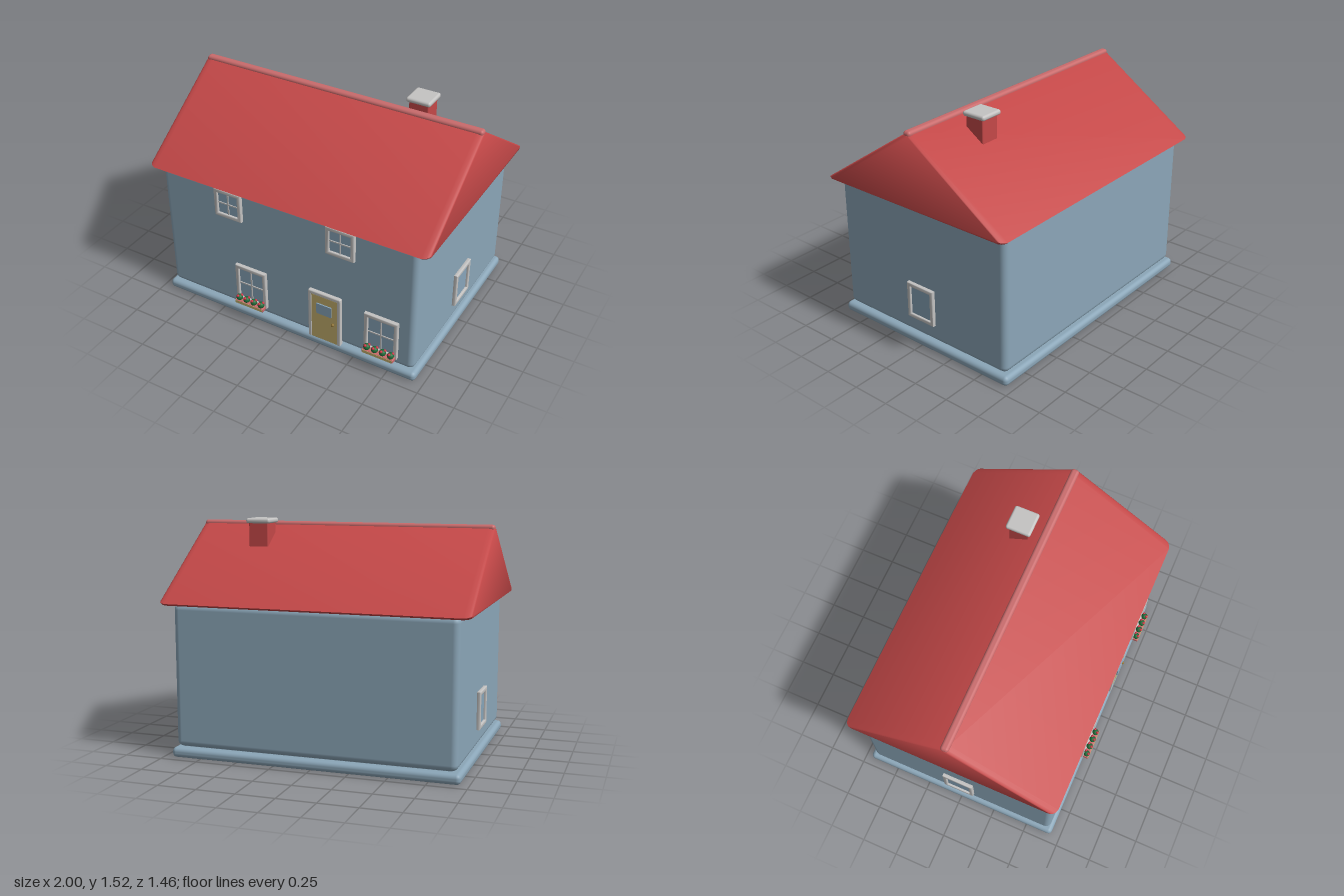
import * as THREE from 'three';
import { toCreasedNormals } from 'three/addons/utils/BufferGeometryUtils.js';
import { RoundedBoxGeometry } from 'three/addons/geometries/RoundedBoxGeometry.js';

const paint = (name, color) => {
  const m = new THREE.MeshStandardMaterial({ color });
  m.name = name;
  return m;
};
const wallBlue = paint('wall blue', 0x8ba6b8);
wallBlue.side = THREE.DoubleSide; // the plinth is an open shell
const roofRed = paint('roof red', 0xc44848);
const ridgePink = paint('ridge pink', 0xc96b6c);
const trimGrey = paint('trim grey', 0xc4c3c2);
const glassBlue = paint('glass blue', 0x88a5ba);
const doorTan = paint('door tan', 0xc1ad6c);
const leafGreen = paint('leaf green', 0x1f6b38);
const petalRed = paint('petal red', 0xcc3344);
const knobBrass = paint('knob brass', 0x8f7434);

function add(parent, name, geometry, material, x = 0, y = 0, z = 0) {
  const mesh = new THREE.Mesh(geometry, material);
  mesh.name = name;
  mesh.position.set(x, y, z);
  parent.add(mesh);
  return mesh;
}

// Rounded box given by its extents on each axis
function block(parent, name, material, [x0, x1], [y0, y1], [z0, z1], radius) {
  const geometry = new RoundedBoxGeometry(x1 - x0, y1 - y0, z1 - z0, 3, radius);
  return add(parent, name, geometry, material, (x0 + x1) / 2, (y0 + y1) / 2, (z0 + z1) / 2);
}

// Takes away the flat underside of a rounded box
function openBottom(geometry) {
  geometry.computeBoundingBox();
  const floor = geometry.boundingBox.min.y + 1e-4;
  const position = geometry.attributes.position;
  const kept = [];
  for (let i = 0; i < position.count; i += 3) {
    if ([0, 1, 2].some((k) => position.getY(i + k) > floor)) kept.push(i, i + 1, i + 2);
  }
  geometry.clearGroups();
  geometry.setIndex(kept);
}

// Roof prism with blunted tips, its cross-section shrinking at the rounded ends
function roofGeometry() {
  const profile = [[0.69, 0.99], [0.705, 1.002], [0.004, 1.479], [-0.028, 1.479], [-0.73, 1.002], [-0.715, 0.99]];
  const centre = [-0.012, 1.216];
  const ends = [[1, 0.95], [0.994, 0.968], [0.98, 0.986], [0.955, 1]];
  const sections = [...ends.map(([x, s]) => [-x, s]), ...ends.reverse()];
  const n = profile.length;
  const last = (sections.length - 1) * n;
  const positions = [];
  const index = [];
  for (const [x, s] of sections) {
    for (const [z, y] of profile) {
      positions.push(x, centre[1] + (y - centre[1]) * s, centre[0] + (z - centre[0]) * s);
    }
  }
  for (let i = 0; i < last; i += n) {
    for (let j = 0; j < n; j++) {
      const a = i + j, b = i + (j + 1) % n;
      index.push(a, a + n, b, b, a + n, b + n);
    }
  }
  // Gable ends
  for (let j = 1; j < n - 1; j++) index.push(0, j, j + 1, last, last + j + 1, last + j);
  const geometry = new THREE.BufferGeometry();
  geometry.setAttribute('position', new THREE.Float32BufferAttribute(positions, 3));
  geometry.setIndex(index);
  return toCreasedNormals(geometry, 1.05);
}

// Rectangular frame with an opening, lying against the plane z = 0
function frameGeometry(w, h, border, depth) {
  const rect = (path, a, b) => path.moveTo(-a, -b).lineTo(a, -b).lineTo(a, b).lineTo(-a, b).closePath();
  const bevel = 0.006;
  const shape = rect(new THREE.Shape(), w / 2 - bevel, h / 2 - bevel);
  shape.holes.push(rect(new THREE.Path(), w / 2 - border + bevel, h / 2 - border + bevel));
  const geometry = new THREE.ExtrudeGeometry(shape, {
    depth: depth - bevel, bevelThickness: bevel, bevelSize: bevel, bevelSegments: 2,
  });
  return toCreasedNormals(geometry, 0.9);
}

function makeWindow(name, w, h, bars) {
  const group = new THREE.Group();
  group.name = name;
  add(group, 'windowFrame', frameGeometry(w, h, 0.026, 0.025), trimGrey);
  add(group, 'windowPane', new THREE.BoxGeometry(w - 0.045, h - 0.045, 0.008), glassBlue, 0, 0, 0.006);
  if (bars) {
    add(group, 'verticalBar', new THREE.BoxGeometry(0.009, h - 0.045, 0.009), trimGrey, 0, 0, 0.011);
    add(group, 'horizontalBar', new THREE.BoxGeometry(w - 0.045, 0.009, 0.009), trimGrey, 0, 0, 0.011);
  }
  return group;
}

// Planter with four little bushes and their blossoms
function makeFlowerBox() {
  const group = new THREE.Group();
  group.name = 'flowerBox';
  block(group, 'planter', ridgePink, [-0.11, 0.11], [0, 0.028], [0, 0.05], 0.006);
  add(group, 'planterFront', new THREE.BoxGeometry(0.21, 0.02, 0.004), doorTan, 0, 0.014, 0.05);
  const bush = new THREE.SphereGeometry(0.023, 12, 8);
  const blossom = new THREE.SphereGeometry(0.01, 10, 6);
  for (let i = 0; i < 4; i++) {
    const x = (i - 1.5) * 0.056;
    add(group, 'bush', bush, leafGreen, x, 0.042, 0.029);
    add(group, 'blossom', blossom, petalRed, x - 0.004, 0.059, 0.043);
    add(group, 'blossom', blossom, petalRed, x + 0.012, 0.056, 0.02);
  }
  return group;
}

function makeDoor() {
  const group = new THREE.Group();
  group.name = 'door';
  // Posts and lintel
  for (const x of [-0.106, 0.106]) {
    block(group, 'doorPost', trimGrey, [x - 0.012, x + 0.012], [0.06, 0.435], [-0.015, 0.022], 0.005);
  }
  block(group, 'doorLintel', trimGrey, [-0.118, 0.118], [0.415, 0.445], [-0.01, 0.023], 0.009);
  block(group, 'doorLeaf', doorTan, [-0.098, 0.098], [0.06, 0.418], [-0.015, 0.019], 0.004);
  add(group, 'doorPane', new THREE.BoxGeometry(0.108, 0.08, 0.009), glassBlue, 0, 0.318, 0.023);
  add(group, 'doorKnob', new THREE.SphereGeometry(0.011, 12, 8), knobBrass, 0.066, 0.226, 0.028);
  return group;
}

export function createModel() {
  const house = new THREE.Group();
  house.name = 'house';
  const frontZ = 0.662;

  // Walls on a hollow plinth
  const plinth = block(house, 'plinth', wallBlue, [-0.95, 0.945], [0, 0.066], [-0.706, 0.685], 0.028);
  openBottom(plinth.geometry);
  add(house, 'wallFoot', new THREE.BoxGeometry(1.78, 0.013, 1.27), wallBlue, 0, 0.0735, -0.01);
  block(house, 'walls', wallBlue, [-0.925, 0.922], [0.07, 1.0], [-0.682, 0.661], 0.04);
  block(house, 'eaveTrim', trimGrey, [-0.95, 0.945], [0.982, 1.002], [0.64, 0.68], 0.008);

  // Roof, ridge and chimney
  add(house, 'roof', roofGeometry(), roofRed);
  block(house, 'ridge', ridgePink, [-0.998, 0.998], [1.454, 1.494], [-0.039, 0.015], 0.019);
  block(house, 'chimneyStack', roofRed, [0.45, 0.585], [1.2, 1.5], [-0.237, -0.105], 0.008);
  block(house, 'chimneyCap', trimGrey, [0.433, 0.6], [1.488, 1.521], [-0.256, -0.09], 0.015);

  // Front windows, the lower ones with flower boxes
  for (const x of [-0.408, 0.408]) {
    const upper = makeWindow('upperWindow', 0.2, 0.205, true);
    upper.position.set(x, 0.882, frontZ);
    house.add(upper);
  }
  for (const x of [-0.262, 0.7]) {
    const lower = makeWindow('lowerWindow', 0.234, 0.285, true);
    lower.position.set(x, 0.28, frontZ);
    house.add(lower);
    const flowers = makeFlowerBox();
    flowers.position.set(x, 0.13, 0.673);
    house.add(flowers);
  }

  // Front door
  const door = makeDoor();
  door.position.set(0.296, 0, frontZ);
  house.add(door);

  // Side windows
  for (const s of [-1, 1]) {
    const side = makeWindow('sideWindow', 0.216, 0.248, false);
    side.position.set(s < 0 ? -0.924 : 0.921, 0.315, -0.011);
    side.rotation.y = s * Math.PI / 2;
    house.add(side);
  }
  return house;
}
